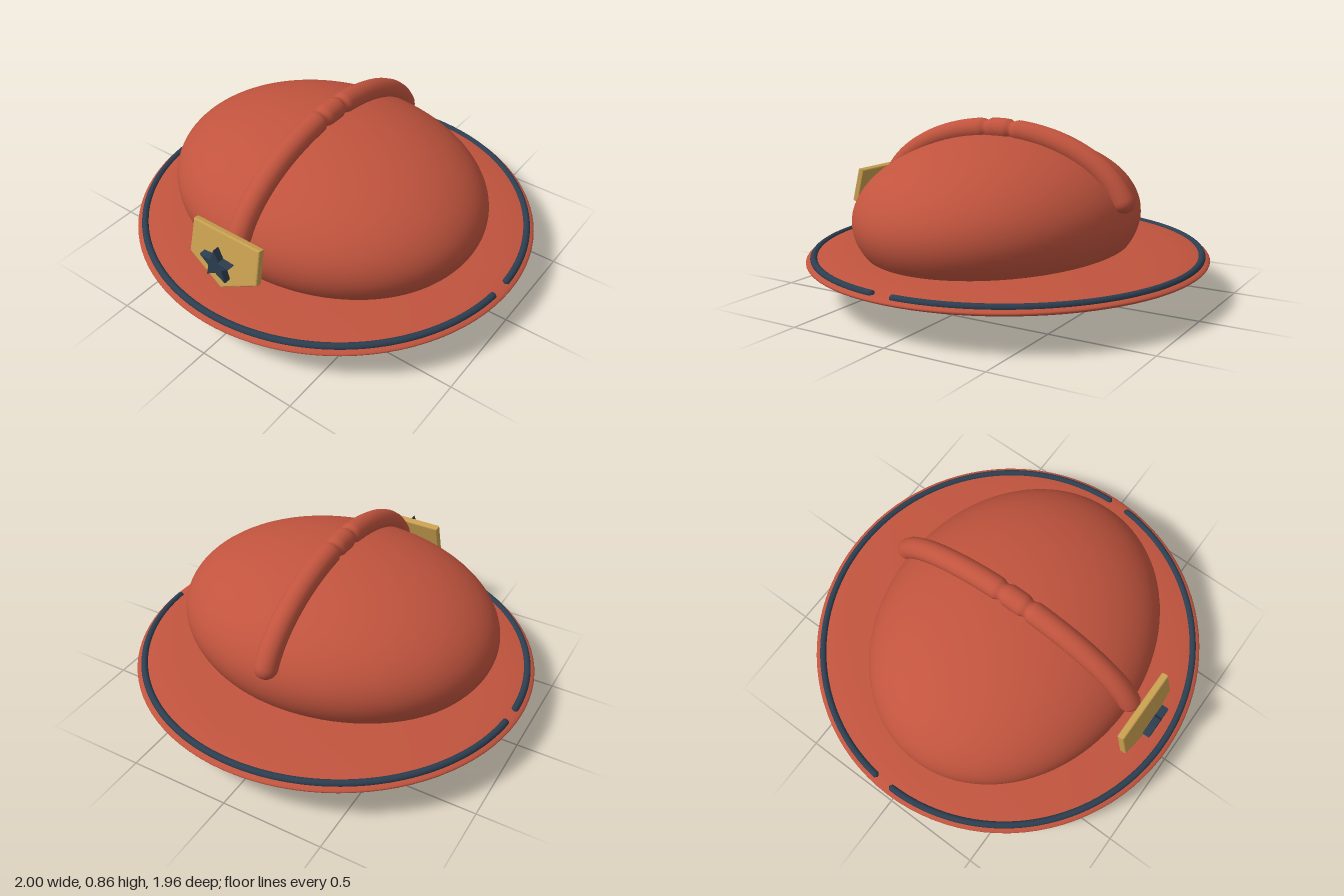
import * as THREE from 'three';
import { mergeVertices } from 'three/addons/utils/BufferGeometryUtils.js';

const shellRed = new THREE.MeshStandardMaterial({ color: 0xc1543e });
shellRed.name = 'shell red';
const navy = new THREE.MeshStandardMaterial({ color: 0x2c3e50 });
navy.name = 'navy';
const gold = new THREE.MeshStandardMaterial({ color: 0xc9a050 });
gold.name = 'gold';

function add(group, name, geometry, material, x = 0, y = 0, z = 0) {
  const mesh = new THREE.Mesh(geometry, material);
  mesh.name = name;
  mesh.position.set(x, y, z);
  group.add(mesh);
  return mesh;
}

// Ellipsoid with the given half sizes
const ellipsoid = (rx, ry, rz) => new THREE.SphereGeometry(1, 96, 48).scale(rx, ry, rz);

// Round-ended tube along an arc; thin(s, length) scales its radius locally
function roundTube(pointAt, from, to, radius, thin = () => 1) {
  const points = [];
  for (let i = 0; i <= 48; i++) points.push(pointAt(from + ((to - from) * i) / 48));
  const curve = new THREE.CatmullRomCurve3(points);
  const length = curve.getLength();
  const rings = 240, sides = 16;
  const geometry = new THREE.TubeGeometry(curve, rings, radius, sides, false);
  const position = geometry.attributes.position;
  const v = new THREE.Vector3();
  for (let i = 0; i <= rings; i++) {
    const centre = curve.getPointAt(i / rings);
    const s = (i / rings) * length;
    const end = Math.min(1, Math.min(s, length - s) / radius);
    const factor = Math.sqrt(Math.max(0, 1 - (1 - end) ** 2)) * thin(s, length);
    for (let j = 0; j <= sides; j++) {
      const k = i * (sides + 1) + j;
      v.fromBufferAttribute(position, k).sub(centre).multiplyScalar(factor).add(centre);
      position.setXYZ(k, v.x, v.y, v.z);
    }
  }
  geometry.deleteAttribute('normal');
  geometry.deleteAttribute('uv');
  const welded = mergeVertices(geometry, 1e-5);
  welded.computeVertexNormals();
  return welded;
}

// Bevelled plate centred on z = 0
function plate(points, depth, bevel) {
  const shape = new THREE.Shape(points.map(([x, y]) => new THREE.Vector2(x, y)));
  return new THREE.ExtrudeGeometry(shape, {
    depth: depth - 2 * bevel, bevelEnabled: true, bevelSize: bevel,
    bevelThickness: bevel, bevelSegments: 3,
  }).translate(0, 0, bevel - depth / 2);
}

export function createModel() {
  const helmet = new THREE.Group();
  helmet.name = 'helmet';

  // Shell
  add(helmet, 'dome', ellipsoid(0.81, 0.387, 0.667), shellRed, 0, 0.387, 0.047);
  add(helmet, 'brim', ellipsoid(1, 0.068, 0.982), shellRed, 0, 0.191, 0);

  // Crest over the dome, with two shallow grooves at the crown
  const crestPoint = (a) =>
    new THREE.Vector3(0, 0.385 + 0.415 * Math.sin(a), 0.045 + 0.69 * Math.cos(a));
  const groove = (s, length) =>
    1 - 0.2 * Math.exp(-(((Math.abs(s - length / 2) - 0.072) / 0.018) ** 2));
  add(helmet, 'crest', roundTube(crestPoint, 0.17, Math.PI - 0.17, 0.055, groove), shellRed);

  // Brim trim in two arcs with small gaps at the sides
  const trimPoint = (a) =>
    new THREE.Vector3(0.963 * Math.cos(a), 0.208, 0.943 * Math.sin(a));
  add(helmet, 'frontTrim', roundTube(trimPoint, 0.08, Math.PI + 0.015, 0.017), navy);
  add(helmet, 'backTrim', roundTube(trimPoint, Math.PI + 0.09, 2 * Math.PI - 0.005, 0.017), navy);

  // Tilted shield plate
  const shield = plate(
    [[-0.182, 0.13], [-0.187, -0.03], [0, -0.13], [0.187, -0.03], [0.182, 0.13]], 0.036, 0.008);
  add(helmet, 'shield', shield, gold, 0, 0.43, 0.807).rotation.x = -0.235;

  // Upright star in front of the shield
  const starPoints = [];
  for (let i = 0; i < 10; i++) {
    const a = Math.PI / 2 + (i * Math.PI) / 5;
    const r = i % 2 ? 0.036 : 0.083;
    starPoints.push([r * Math.cos(a), r * Math.sin(a)]);
  }
  add(helmet, 'star', plate(starPoints, 0.037, 0.005), navy, 0, 0.445, 0.861);

  return helmet;
}
